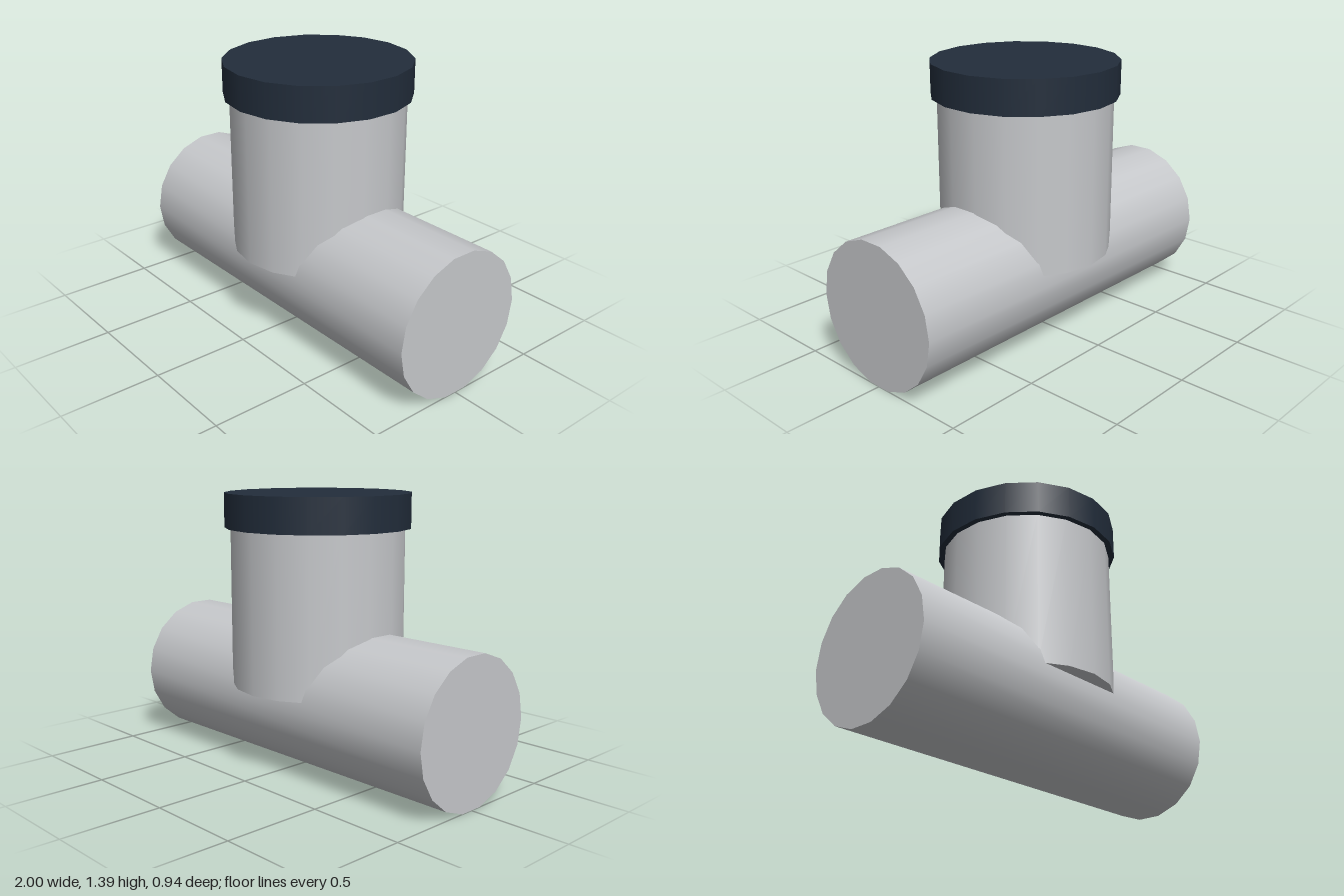
import * as THREE from 'three';

const SIDES = 18;

export function createModel() {
  const model = new THREE.Group();
  model.name = 'cappedPipeTee';

  const greyPipe = new THREE.MeshStandardMaterial({ name: 'light grey pipe', color: 0xc6c8cb });
  const navyCap = new THREE.MeshStandardMaterial({ name: 'dark navy cap', color: 0x222d3b });

  // Closed cylinder centred at height y
  function addCylinder(name, radius, length, y, material) {
    const mesh = new THREE.Mesh(new THREE.CylinderGeometry(radius, radius, length, SIDES), material);
    mesh.name = name;
    mesh.position.y = y;
    model.add(mesh);
    return mesh;
  }

  // Main pipe lying along x
  const pipeRadius = 0.365;
  const pipeY = pipeRadius * Math.cos(Math.PI / SIDES); // rests on a flat side
  addCylinder('mainPipe', pipeRadius, 2, pipeY, greyPipe).rotation.z = Math.PI / 2;

  // Upright branch, its lower end overhanging the main pipe
  const branchBottom = 0.42, capBottom = 1.217, capTop = 1.39;
  addCylinder('branchPipe', 0.44, capBottom - branchBottom, (capBottom + branchBottom) / 2, greyPipe);

  // Wider cap closing the branch
  addCylinder('cap', 0.47, capTop - capBottom, (capTop + capBottom) / 2, navyCap);

  return model;
}
